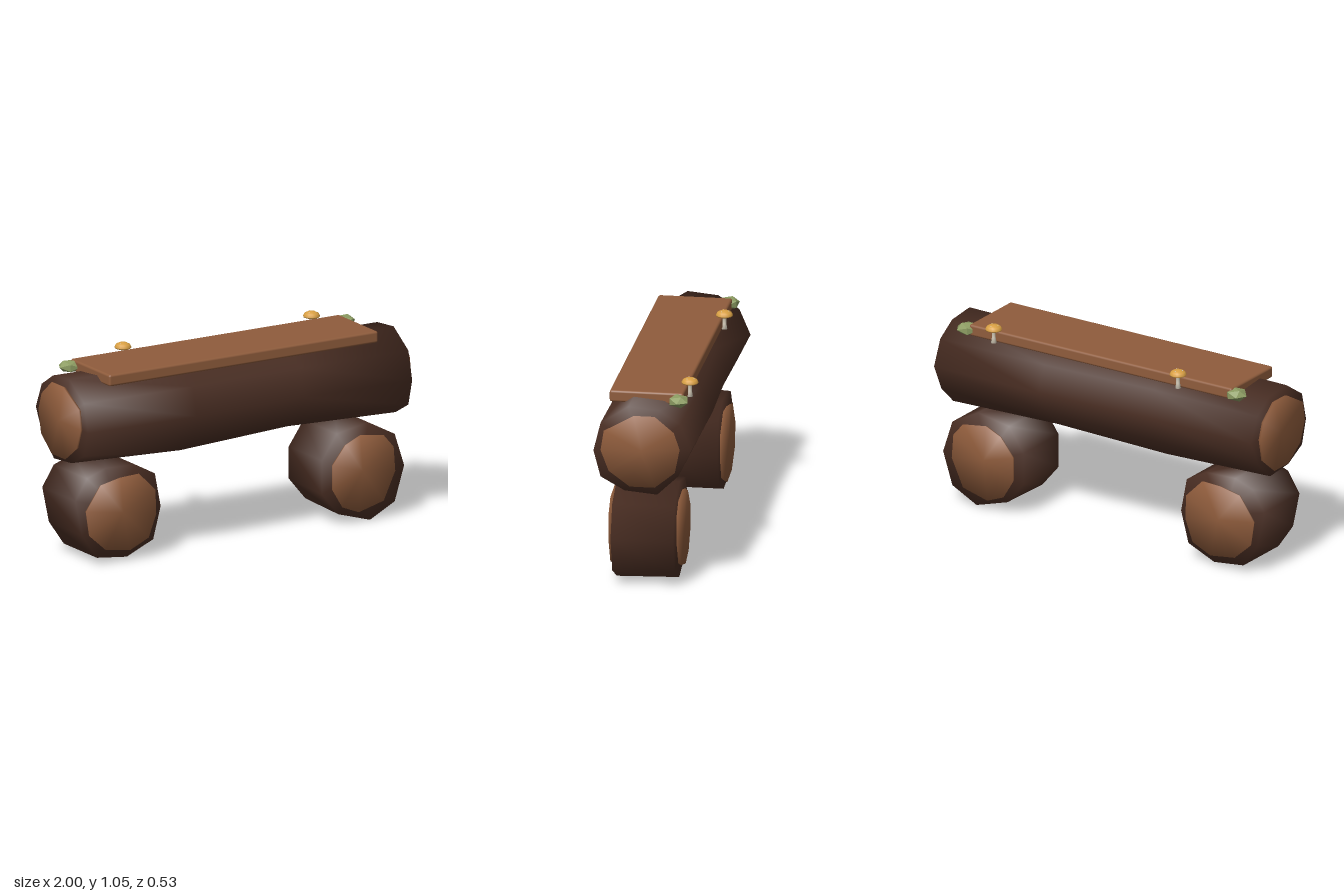
import * as THREE from 'three';
import { RoundedBoxGeometry } from 'three/addons/geometries/RoundedBoxGeometry.js';

const mat = (name, color) => {
  const m = new THREE.MeshStandardMaterial({ color });
  m.name = name;
  return m;
};

// Solid skinned over rings of equal point count, stacked along z, with softened ends.
// Each ring is { z, pts }, pts counter-clockwise seen from +z.
function loft(rings) {
  const pos = [], nor = [], idx = [];
  const n = rings[0].pts.length, last = rings.length - 1;
  const put = (x, y, z, normal) => {
    pos.push(x, y, z);
    nor.push(...normal.normalize().toArray());
  };
  const middle = pts => pts.reduce((c, p) => [c[0] + p[0] / n, c[1] + p[1] / n], [0, 0]);
  rings.forEach(({ z, pts }, r) => {
    const [cx, cy] = middle(pts);
    const axial = r === 0 ? -1 : r === last ? 1 : 0;
    for (const [x, y] of pts) {
      const radial = new THREE.Vector3(x - cx, y - cy, 0).normalize();
      put(x, y, z, radial.setZ(axial));
    }
  });
  for (const r of [0, last]) {
    const [cx, cy] = middle(rings[r].pts);
    put(cx, cy, rings[r].z, new THREE.Vector3(0, 0, r === 0 ? -1 : 1));
  }
  const back = n * rings.length, front = back + 1;
  for (let i = 0; i < n; i++) {
    const j = (i + 1) % n;
    for (let r = 0; r < last; r++) {
      const a = r * n + i, b = r * n + j;
      idx.push(a, b, b + n, a, b + n, a + n);
    }
    idx.push(back, j, i, front, last * n + i, last * n + j);
  }
  const g = new THREE.BufferGeometry();
  g.setAttribute('position', new THREE.Float32BufferAttribute(pos, 3));
  g.setAttribute('normal', new THREE.Float32BufferAttribute(nor, 3));
  g.setIndex(idx);
  return g;
}

export function createModel() {
  const bark = mat('dark bark', 0x4a2e23);
  const wood = mat('cut wood', 0x8f5c3c);
  const moss = mat('moss green', 0x8c9c62);
  const gold = mat('mushroom gold', 0xd9a044);
  const cream = mat('mushroom cream', 0xd8cfbc);
  const root = new THREE.Group();
  root.name = 'logBench';

  const add = (parent, name, geometry, material, x = 0, y = 0, z = 0) => {
    const m = new THREE.Mesh(geometry, material);
    m.name = name;
    m.position.set(x, y, z);
    parent.add(m);
    return m;
  };

  // Sawn face discs just beyond both ends of a log
  const disc = (pts, side, inner, outer) => {
    const c = pts.reduce((s, p) => [s[0] + p[0] / pts.length, s[1] + p[1] / pts.length], [0, 0]);
    const rim = pts.map(([x, y]) => [c[0] + (x - c[0]) * 0.97, c[1] + (y - c[1]) * 0.97]);
    const near = { z: side * inner, pts: rim }, far = { z: side * outer, pts };
    return loft(side > 0 ? [near, far] : [far, near]);
  };

  // Main log, slightly wavy along its length
  const trunk = new THREE.Group();
  trunk.name = 'seatLog';
  root.add(trunk);
  const outline = [[0.258, 0.765], [0.2, 0.9], [0.09, 0.97], [-0.07, 0.985], [-0.215, 0.89],
    [-0.252, 0.74], [-0.215, 0.6], [-0.09, 0.53], [0.08, 0.515], [0.19, 0.62]];
  const section = (z, du, bottom) => ({
    z,
    pts: outline.map(([u, v]) => [u + du, v > 0.75 ? v : 0.75 - (0.75 - v) * (0.75 - bottom) / 0.235]),
  });
  add(trunk, 'seatLogBark', loft([section(-0.98, 0, 0.53), section(-0.33, -0.014, 0.507),
    section(0.33, 0.008, 0.535), section(0.98, 0, 0.517)]).rotateY(Math.PI / 2), bark);
  const trunkFace = [[0.2, 0.77], [0.17, 0.86], [0.07, 0.943], [-0.04, 0.943], [-0.195, 0.855],
    [-0.212, 0.75], [-0.17, 0.64], [-0.06, 0.56], [0.07, 0.56], [0.175, 0.645]];
  for (const s of [1, -1])
    add(trunk, s > 0 ? 'leftCutFace' : 'rightCutFace',
      disc(trunkFace, s, 0.985, 1).rotateY(Math.PI / 2), wood);

  // Short leg logs lying crosswise
  const legs = [
    {
      name: 'rightLeg', tilt: 0,
      bark: [[-0.485, 0.26], [-0.52, 0.44], [-0.64, 0.505], [-0.82, 0.51], [-0.93, 0.47],
        [-1, 0.36], [-0.96, 0.17], [-0.87, 0.04], [-0.69, 0.02], [-0.53, 0.09]],
      face: [[-0.525, 0.23], [-0.53, 0.36], [-0.63, 0.46], [-0.74, 0.455], [-0.86, 0.43],
        [-0.95, 0.3], [-0.93, 0.17], [-0.83, 0.08], [-0.68, 0.06], [-0.57, 0.11]],
    },
    {
      name: 'leftLeg', tilt: 0.009,
      bark: [[0.987, 0.265], [0.93, 0.44], [0.77, 0.525], [0.58, 0.49], [0.49, 0.36],
        [0.49, 0.18], [0.59, 0.06], [0.78, 0.003], [0.93, 0.08]],
      face: [[0.92, 0.25], [0.91, 0.38], [0.85, 0.45], [0.71, 0.47], [0.62, 0.43],
        [0.54, 0.33], [0.54, 0.2], [0.6, 0.1], [0.7, 0.06], [0.85, 0.1]],
    },
  ];
  for (const l of legs) {
    const leg = new THREE.Group();
    leg.name = l.name;
    root.add(leg);
    const rear = l.bark.map(([x, y]) => [x, y < 0.2 ? y + l.tilt : y]);
    add(leg, l.name + 'Bark', loft([{ z: -0.163, pts: rear }, { z: 0.162, pts: l.bark }]), bark);
    for (const s of [1, -1])
      add(leg, l.name + (s > 0 ? 'FrontFace' : 'BackFace'), disc(l.face, s, 0.169, 0.184), wood);
  }

  // Seat plank with softened edges
  add(root, 'seatPlank', new RoundedBoxGeometry(1.625, 0.062, 0.385, 2, 0.012), wood, -0.002, 0.982, 0.003);

  // Moss clumps: squashed faceted lumps
  const mossFlat = moss;
  mossFlat.flatShading = true;
  for (const s of [1, -1]) {
    const clump = add(root, s > 0 ? 'leftMoss' : 'rightMoss', new THREE.IcosahedronGeometry(1, 0),
      mossFlat, s * 0.83, 0.98, -0.168);
    clump.scale.set(0.064, 0.034, 0.058);
    clump.rotation.y = s * 0.5;
  }

  // Mushrooms along the back edge
  const v = (x, y) => new THREE.Vector2(x, y);
  const stem = new THREE.LatheGeometry([v(0, 0), v(0.015, 0), v(0.01, 0.03), v(0.01, 0.055), v(0.016, 0.075)], 8);
  const cap = new THREE.LatheGeometry([v(0, 0.068), v(0.03, 0.066), v(0.042, 0.071), v(0.044, 0.077),
    v(0.037, 0.09), v(0.022, 0.098), v(0, 0.101)], 14);
  const spot = new THREE.SphereGeometry(0.004, 6, 4);
  for (const x of [-0.49, 0.65]) {
    const mushroom = new THREE.Group();
    mushroom.name = 'mushroom';
    mushroom.position.set(x, 0.95, -0.199);
    root.add(mushroom);
    add(mushroom, 'mushroomStem', stem, cream);
    add(mushroom, 'mushroomCap', cap, gold);
    for (let i = 0; i < 3; i++) {
      const a = i * 2.1 + 0.6;
      add(mushroom, 'mushroomSpot', spot, cream, Math.cos(a) * 0.022, 0.096, Math.sin(a) * 0.022);
    }
  }
  return root;
}
